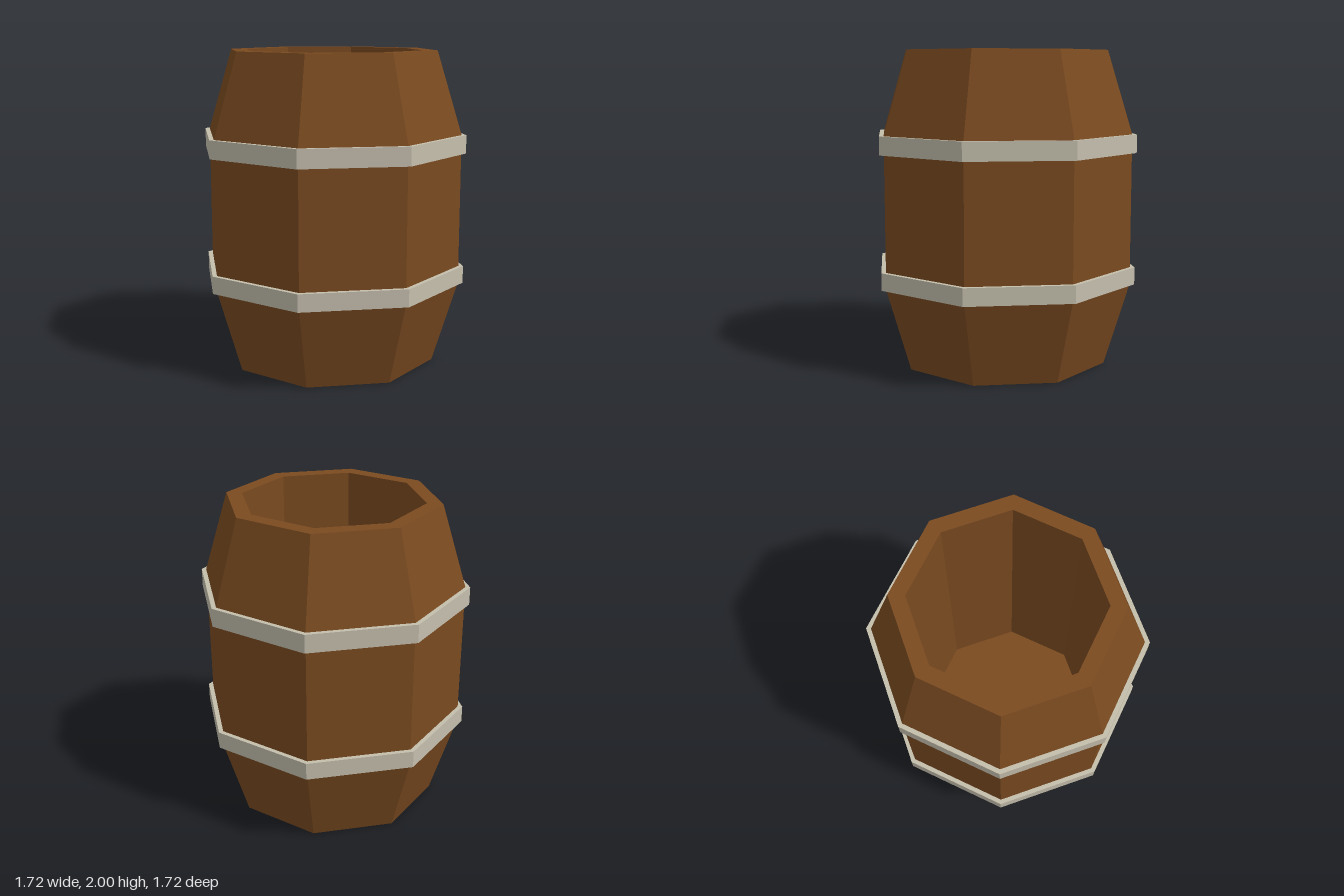
import * as THREE from 'three';

const SIDES = 8;
const wood = new THREE.MeshStandardMaterial({ color: 0x7a4a20, flatShading: true });
const metal = new THREE.MeshStandardMaterial({ color: 0xc4beac, flatShading: true });

// Eight-sided turned part from a list of [radius, height] pairs
function turned(name, profile, material) {
  const points = profile.map(([r, y]) => new THREE.Vector2(r, y));
  const mesh = new THREE.Mesh(new THREE.LatheGeometry(points, SIDES), material);
  mesh.name = name;
  return mesh;
}

export function createModel() {
  const barrel = new THREE.Group();
  barrel.name = 'barrel';

  // Outer wall: tapered ends, straight middle, flat rims
  barrel.add(turned('staves', [
    [0.57, 0], [0.67, 0], [0.83, 0.53], [0.83, 1.48], [0.67, 2], [0.57, 2],
  ], wood));

  // Straight inner wall, down to the floor
  barrel.add(turned('innerWall', [[0.57, 2], [0.57, 0.12]], wood));
  barrel.add(turned('floor', [[0.57, 0.12], [0, 0.12]], wood));

  // Underside, set slightly up into the bottom rim
  barrel.add(turned('recessedBase', [[0, 0.07], [0.57, 0.07], [0.57, 0]], wood));

  // Two metal hoops where the taper begins
  for (const [name, low, high] of [['lowerHoop', 0.53, 0.64], ['upperHoop', 1.365, 1.48]]) {
    barrel.add(turned(name, [[0.82, low], [0.86, low], [0.86, high], [0.82, high]], metal));
  }

  return barrel;
}
